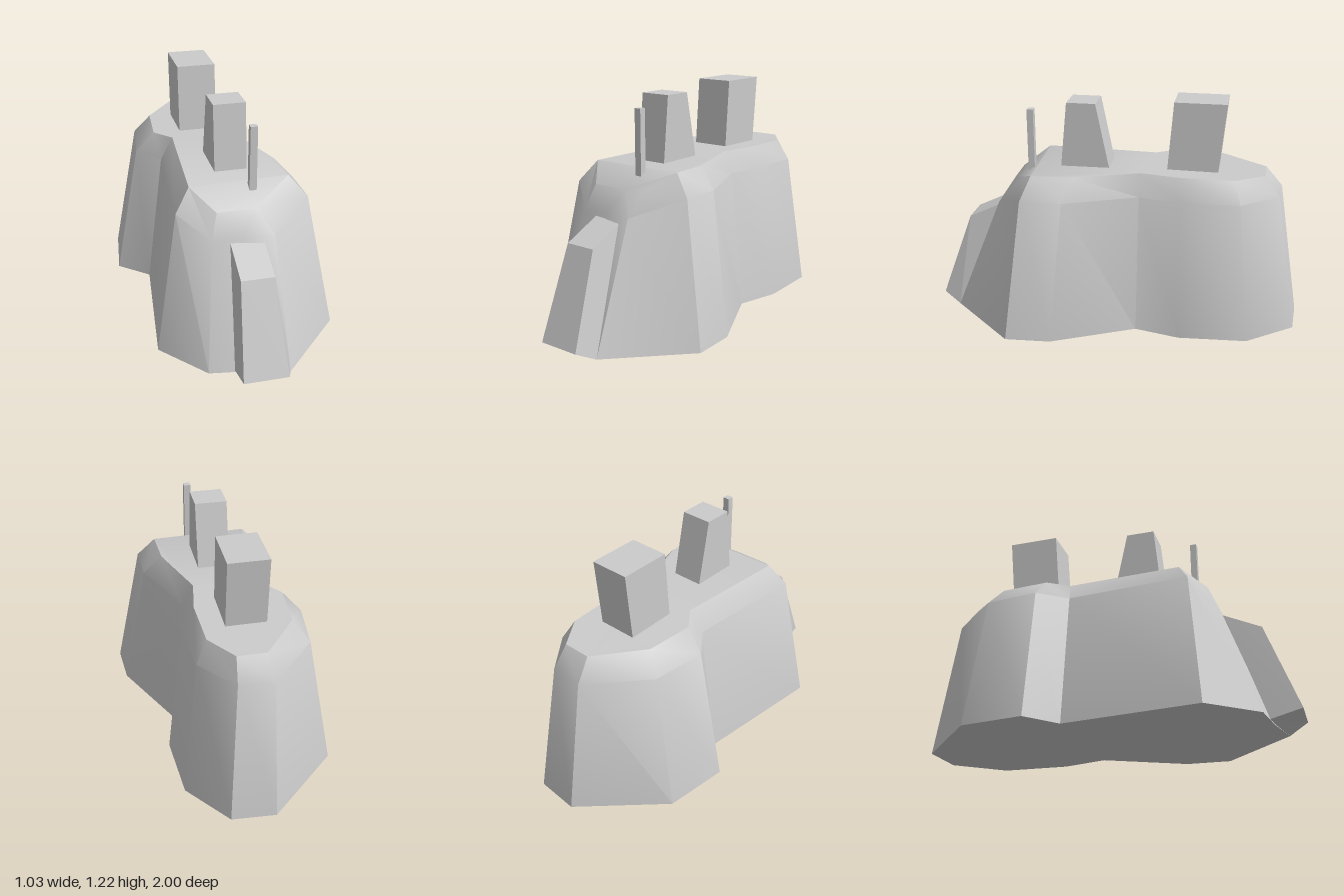
import * as THREE from 'three';
import { toCreasedNormals } from 'three/addons/utils/BufferGeometryUtils.js';

const material = new THREE.MeshStandardMaterial({ color: 0xcccccc });

// Flat or gently sloped cap over a loop of points, facing up or down.
function addCap(out, loop, up) {
  const flat = loop.map(p => new THREE.Vector2(p[0], p[2]));
  for (const [i, j, k] of THREE.ShapeUtils.triangulateShape(flat, [])) {
    const a = flat[i], b = flat[j], c = flat[k];
    const facesUp = (b.x - a.x) * (c.y - a.y) - (b.y - a.y) * (c.x - a.x) < 0;
    const order = facesUp === up ? [i, j, k] : [i, k, j];
    order.forEach(n => out.push(...loop[n]));
  }
}

// Skin between loops listed bottom to top, each clockwise seen from above.
function loft(name, rings, crease, topLoops = [rings[rings.length - 1]]) {
  const out = [];
  for (let r = 0; r < rings.length - 1; r++) {
    const lo = rings[r], hi = rings[r + 1];
    lo.forEach((a, i) => {
      const j = (i + 1) % lo.length;
      out.push(...a, ...hi[i], ...hi[j], ...a, ...hi[j], ...lo[j]);
    });
  }
  addCap(out, rings[0], false);
  topLoops.forEach(loop => addCap(out, loop, true));
  const geometry = new THREE.BufferGeometry();
  geometry.setAttribute('position', new THREE.Float32BufferAttribute(out, 3));
  const mesh = new THREE.Mesh(toCreasedNormals(geometry, crease), material);
  mesh.name = name;
  return mesh;
}

const rect = (x0, x1, z0, z1, y) => [[x0, y, z0], [x1, y, z0], [x1, y, z1], [x0, y, z1]];

export function createModel() {
  const group = new THREE.Group();
  group.name = 'building';

  // Main hull: ground outline, shoulder and roof edge
  const ground = [
    [-0.10, 0, -1.00], [0.13, 0, -0.985], [0.32, 0, -0.74], [0.345, 0, -0.38],
    [0.29, 0, -0.14], [0.50, 0, 0.29], [0.515, 0, 0.53], [0.17, 0, 0.90],
    [-0.03, 0, 0.85], [-0.23, 0, 0.82], [-0.44, 0, 0.57], [-0.36, 0, -0.16],
    [-0.52, 0, -0.30], [-0.48, 0, -0.64]];
  const shoulder = [
    [-0.10, 0.74, -0.88], [0.08, 0.74, -0.87], [0.24, 0.74, -0.67], [0.255, 0.74, -0.36],
    [0.21, 0.74, -0.14], [0.37, 0.74, 0.24], [0.375, 0.74, 0.46], [0.15, 0.64, 0.64],
    [-0.01, 0.64, 0.625], [-0.165, 0.63, 0.62], [-0.32, 0.74, 0.50], [-0.27, 0.74, -0.16],
    [-0.385, 0.74, -0.31], [-0.35, 0.74, -0.60]];
  const roof = [
    [-0.08, 0.85, -0.79], [0.07, 0.85, -0.79], [0.18, 0.85, -0.63], [0.19, 0.855, -0.34],
    [0.155, 0.855, -0.14], [0.27, 0.85, 0.21], [0.28, 0.85, 0.42], [0.16, 0.765, 0.53],
    [0.07, 0.76, 0.565], [-0.13, 0.76, 0.57], [-0.24, 0.85, 0.44], [-0.20, 0.855, -0.18],
    [-0.285, 0.85, -0.29], [-0.265, 0.85, -0.55]];
  // The roof is level, then slopes down at the front
  const level = [...roof.slice(0, 7), ...roof.slice(10)];
  const slope = roof.slice(6, 11);
  group.add(loft('hull', [ground, shoulder, roof], 0.65, [level, slope]));

  // Wedge-shaped entrance ramp on the front
  group.add(loft('frontWedge', [
    [[-0.10, 0, 0.81], [0.17, 0, 0.90], [0.13, 0.05, 1.00], [-0.10, 0.05, 1.00]],
    [[-0.075, 0.63, 0.60], [0.095, 0.63, 0.60], [0.095, 0.52, 0.83], [-0.075, 0.52, 0.83]],
  ], 0.1));

  // Roof blocks and mast
  group.add(loft('rearTower', [
    rect(-0.14, 0.07, -0.54, -0.27, 0.84), rect(-0.14, 0.07, -0.575, -0.30, 1.22)], 0.1));
  group.add(loft('middleTower', [
    rect(-0.075, 0.095, 0.035, 0.30, 0.84), rect(-0.075, 0.095, 0.11, 0.265, 1.20)], 0.1));
  group.add(loft('mast', [
    rect(0.06, 0.097, 0.445, 0.48, 0.79), rect(0.06, 0.097, 0.445, 0.48, 1.155)], 0.1));

  return group;
}
